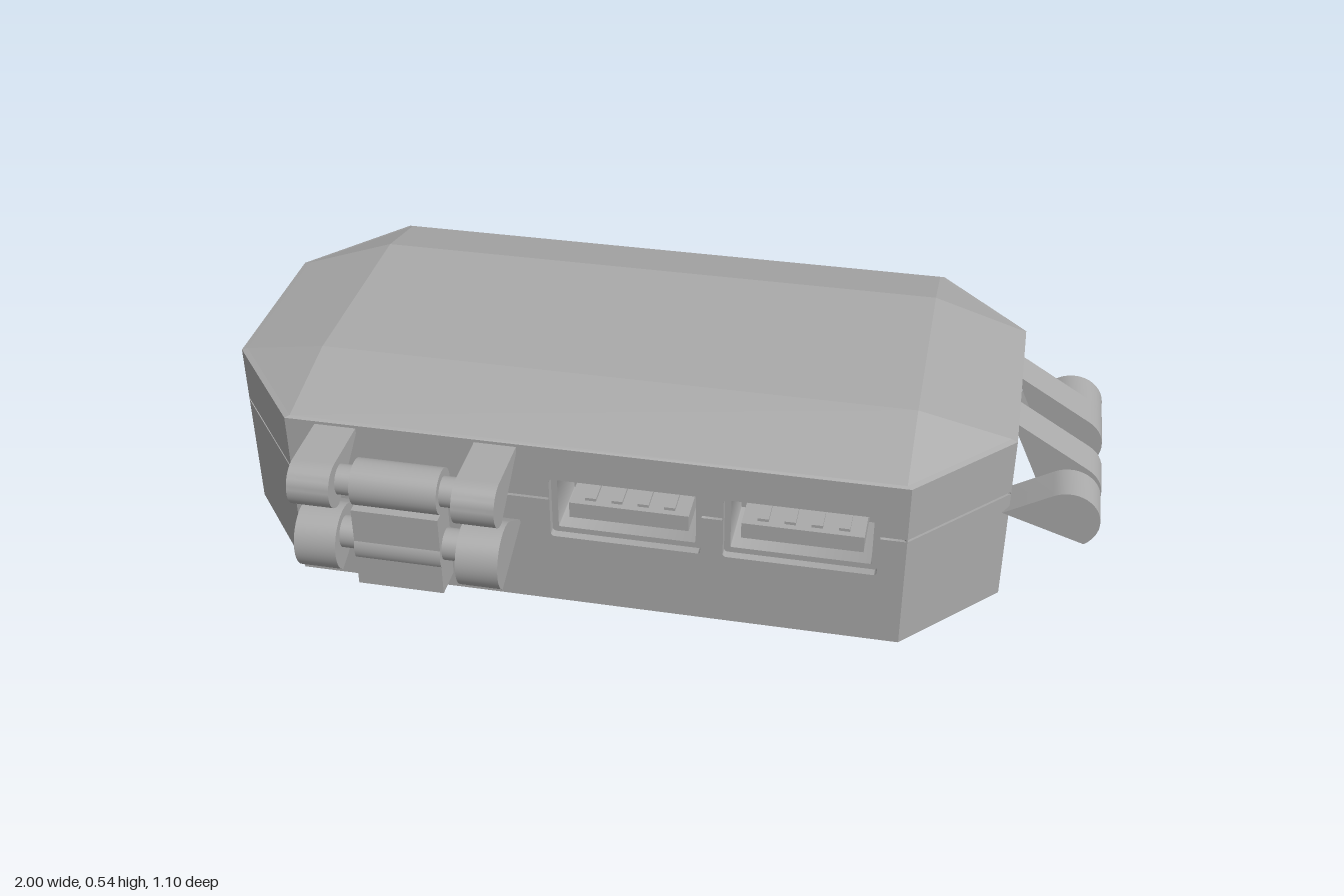
import * as THREE from 'three';
import { toCreasedNormals } from 'three/addons/utils/BufferGeometryUtils.js';

const LOW = 0.06, HIGH = 0.482, SEAM = 0.345, WALL = 0.03;

// Octagonal footprint [x, z], counter-clockwise from above, starting at the front
const OUTLINE = [[-0.8, 0.36], [0.59, 0.36], [0.8, 0.14], [0.8, -0.33],
  [0.59, -0.55], [-0.8, -0.55], [-1, -0.31], [-1, 0.11]];
// Each footprint corner runs to one of the four corners of the flat top and base
const FLAT = [[-0.78, 0.15], [0.58, 0.15], [0.58, 0.15], [0.58, -0.34],
  [0.58, -0.34], [-0.78, -0.34], [-0.78, -0.34], [-0.78, 0.15]];

export function createModel() {
  const model = new THREE.Group();
  model.name = 'portHub';
  const grey = new THREE.MeshStandardMaterial({ color: 0xa9a9a9 });
  grey.name = 'grey';

  const add = (parent, name, geometry, x = 0, y = 0, z = 0) => {
    const mesh = new THREE.Mesh(geometry, grey);
    mesh.name = name;
    mesh.position.set(x, y, z);
    parent.add(mesh);
    return mesh;
  };
  const box = (parent, name, w, h, d, x, y, z) =>
    add(parent, name, new THREE.BoxGeometry(w, h, d), x, y, z);

  // Faceted skin through rings listed from bottom to top
  const loft = (rings, capTop) => {
    const p = [];
    const tri = (...corners) => corners.forEach(c => p.push(...c));
    for (let k = 0; k < rings.length - 1; k++) {
      const a = rings[k], b = rings[k + 1];
      a.forEach((_, i) => {
        const j = (i + 1) % a.length;
        tri(a[i], a[j], b[j]);
        tri(a[i], b[j], b[i]);
      });
    }
    const end = capTop ? rings[rings.length - 1] : rings[0];
    for (let i = 1; i < end.length - 1; i++) {
      if (capTop) tri(end[0], end[i], end[i + 1]);
      else tri(end[0], end[i + 1], end[i]);
    }
    const g = new THREE.BufferGeometry();
    g.setAttribute('position', new THREE.Float32BufferAttribute(p, 3));
    g.computeVertexNormals();
    return g;
  };
  const ring = (points, y, scale = 1) =>
    points.map(([x, z]) => [-0.1 + (x + 0.1) * scale, y, -0.095 + (z + 0.095) * scale]);

  // Chamfered base and lid with a narrow rim
  add(model, 'base', loft([ring(FLAT, 0), ring(OUTLINE, LOW - 0.004, 0.985), ring(OUTLINE, LOW)], false));
  add(model, 'lid', loft([ring(OUTLINE, HIGH), ring(OUTLINE, HIGH + 0.004, 0.985), ring(FLAT, 0.543)], true));

  // Rounded rectangle centred on (x, y)
  const rounded = (Type, x, y, w, h, r) => {
    const s = new Type(), hw = w / 2, hh = h / 2;
    s.moveTo(x - hw + r, y - hh);
    s.lineTo(x + hw - r, y - hh);
    s.absarc(x + hw - r, y - hh + r, r, -Math.PI / 2, 0);
    s.lineTo(x + hw, y + hh - r);
    s.absarc(x + hw - r, y + hh - r, r, 0, Math.PI / 2);
    s.lineTo(x - hw + r, y + hh);
    s.absarc(x - hw + r, y + hh - r, r, Math.PI / 2, Math.PI);
    s.lineTo(x - hw, y - hh + r);
    s.absarc(x - hw + r, y - hh + r, r, Math.PI, Math.PI * 1.5);
    return s;
  };
  const extrude = (shape, depth) => toCreasedNormals(
    new THREE.ExtrudeGeometry(shape, { depth, bevelEnabled: false, curveSegments: 10 }), 0.6);

  // Socket behind an opening: sleeve, back plate, tongue and contacts
  const addSocket = (parent, { u, y, w, h, r, wide }) => {
    const socket = new THREE.Group();
    socket.name = wide ? 'wideSocket' : 'slimSocket';
    socket.position.set(u, y, 0);
    parent.add(socket);
    const depth = 0.15, lip = wide ? 0.014 : 0.008;
    const sleeve = rounded(THREE.Shape, 0, 0, w + 0.02, h + 0.02, r + 0.01);
    sleeve.holes.push(rounded(THREE.Path, 0, 0, w - 2 * lip, h - 2 * lip, Math.max(r - lip, 0.003)));
    add(socket, 'sleeve', extrude(sleeve, depth), 0, 0, -0.02 - depth);
    box(socket, 'backPlate', w + 0.02, h + 0.02, 0.01, 0, 0, -0.025 - depth);
    if (wide) {
      box(socket, 'tongue', w * 0.8, 0.04, depth - 0.02, 0, -0.03, -0.03 - depth / 2);
      for (let i = 0; i < 4; i++) {
        box(socket, 'contact', 0.025, 0.008, depth - 0.04, -0.09 + i * 0.06, -0.007, -0.035 - depth / 2);
      }
    } else {
      box(socket, 'tongue', w * 0.68, 0.02, depth - 0.02, 0, 0, -0.03 - depth / 2);
    }
  };

  const wide = u => ({ u, y: 0.32, w: 0.34, h: 0.156, r: 0.008, wide: true });
  const slim = u => ({ u, y: 0.287, w: 0.235, h: 0.088, r: 0.0435, wide: false });
  const ports = { 0: [wide(0.075), wide(0.465)], 4: [slim(-0.415), slim(-0.075)], 6: [wide(0)] };

  // Side walls with port openings and a seam groove
  OUTLINE.forEach(([ax, az], i) => {
    const [bx, bz] = OUTLINE[(i + 1) % OUTLINE.length];
    const half = Math.hypot(bx - ax, bz - az) / 2;
    const wall = new THREE.Group();
    wall.name = 'wall';
    wall.position.set((ax + bx) / 2, 0, (az + bz) / 2);
    wall.rotation.y = Math.atan2(az - bz, bx - ax);
    model.add(wall);

    const panel = new THREE.Shape([[-half, LOW], [half, LOW], [half, HIGH], [-half, HIGH]]
      .map(q => new THREE.Vector2(...q)));
    const list = ports[i] || [];
    let start = -half;
    const groove = end => {
      const w = end - start - 0.004, mid = (start + end) / 2;
      panel.holes.push(rounded(THREE.Path, mid, SEAM, w, 0.006, 0.001));
      box(wall, 'grooveFloor', w, 0.02, 0.01, mid, SEAM, -WALL);
    };
    for (const port of list) {
      panel.holes.push(rounded(THREE.Path, port.u, port.y, port.w, port.h, port.r));
      addSocket(wall, port);
      if (port.wide) {
        groove(port.u - port.w / 2);
        start = port.u + port.w / 2;
      }
    }
    groove(half);
    add(wall, 'panel', extrude(panel, WALL), 0, 0, -WALL);
  });

  // Hinge arm: round tip joined by tangents to two points on the wall
  const arm = ([cx, cy], r, [px, py], [qx, qy], width) => {
    const reach = (x, y) => Math.acos(r / Math.hypot(x - cx, y - cy));
    let top = Math.atan2(py - cy, px - cx);
    if (top < 0) top += Math.PI * 2;
    const bottom = Math.atan2(qy - cy, qx - cx);
    const from = (bottom > 0 ? bottom - Math.PI * 2 : bottom) + reach(qx, qy);
    const s = new THREE.Shape();
    s.moveTo(qx, qy);
    s.absarc(cx, cy, r, from, top - reach(px, py));
    s.lineTo(px, py);
    return extrude(s, width).translate(0, 0, -width / 2);
  };

  // Front latch: upper and lower arm pairs, roller, axle and link
  const latch = new THREE.Group();
  latch.name = 'frontLatch';
  model.add(latch);
  for (const x of [-0.683, -0.317]) {
    add(latch, 'upperArm', arm([0.497, 0.422], 0.053, [0.34, 0.475], [0.34, 0.369], 0.095)
      .rotateY(-Math.PI / 2), x);
    add(latch, 'lowerArm', arm([0.477, 0.266], 0.075, [0.35, 0.27], [0.35, 0.085], 0.095)
      .rotateY(-Math.PI / 2), x);
  }
  const rod = (name, r, length, y, z) =>
    add(latch, name, new THREE.CylinderGeometry(r, r, length, 32).rotateZ(Math.PI / 2), -0.5, y, z);
  rod('upperAxle', 0.034, 0.28, 0.422, 0.478);
  rod('upperRoller', 0.052, 0.195, 0.422, 0.478);
  rod('lowerAxle', 0.036, 0.28, 0.285, 0.485);
  rod('lowerRoller', 0.048, 0.195, 0.275, 0.487);
  box(latch, 'link', 0.195, 0.2, 0.075, -0.5, 0.28, 0.492);

  // Side hinge: rising outer arms and falling inner arms on a shared axis
  const hinge = new THREE.Group();
  hinge.name = 'sideHinge';
  model.add(hinge);
  for (const side of [-1, 1]) {
    add(hinge, 'outerArm', arm([0.927, 0.298], 0.073, [0.785, 0.3], [0.785, 0.1], 0.095),
      0, 0, -0.087 + side * 0.197);
    add(hinge, 'innerArm', arm([0.927, 0.308], 0.073, [0.785, 0.48], [0.785, 0.3], 0.095),
      0, 0, -0.087 + side * 0.096);
  }
  return model;
}
